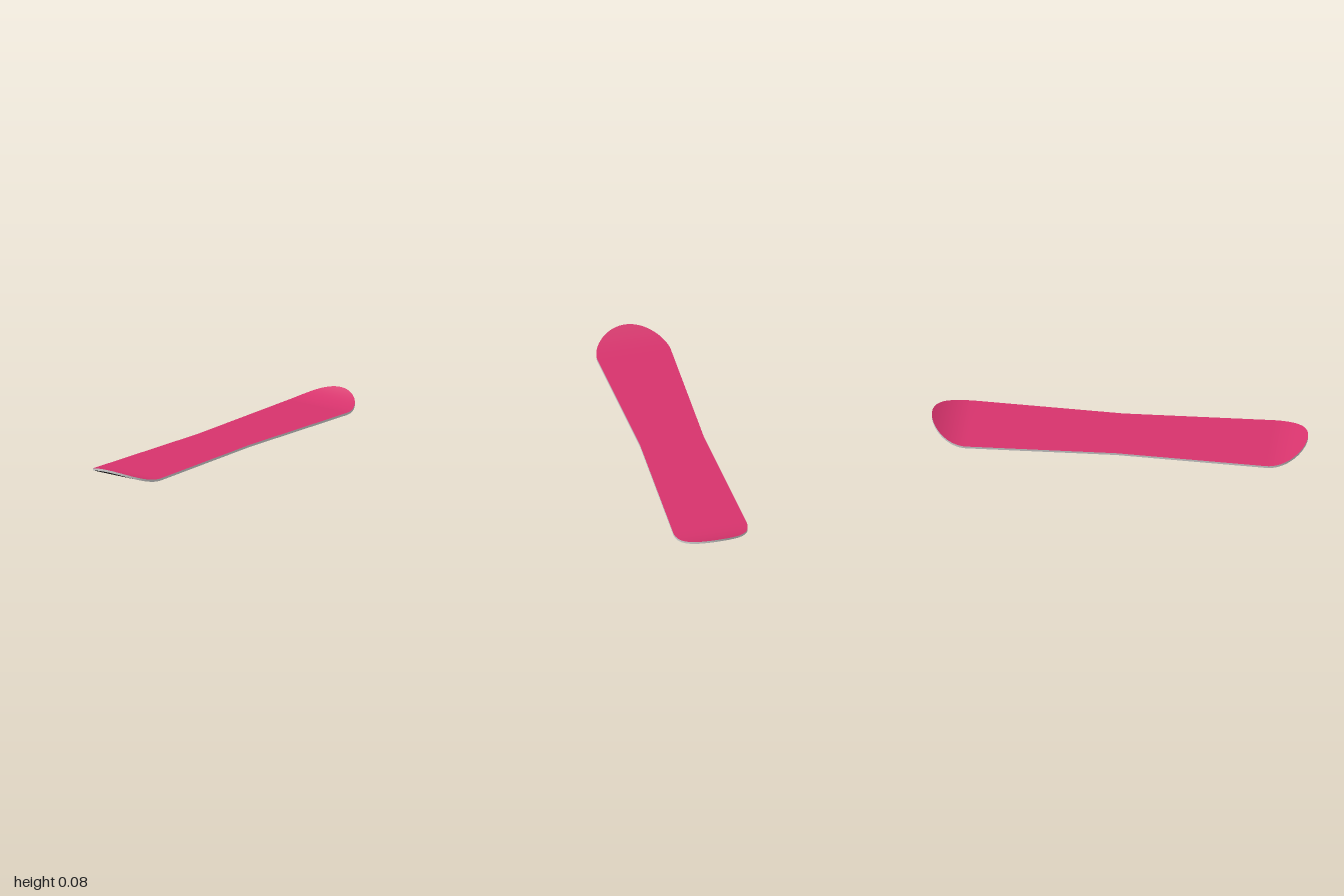
import * as THREE from 'three';

const THICK = 0.012, FLAT = 0.8, WIDE = 0.2, WAIST = 0.173, TIP = 0.2;

// Underside height: flat in the middle, parabolic upturn at both ends
function rise(x) {
  const t = Math.max(0, (Math.abs(x) - FLAT) / TIP);
  return (x > 0 ? 0.063 : 0.055) * t * t;
}

// Half outline from tail to nose: round end, tapered waist, round end
function stations() {
  const half = [];
  for (let i = 0; i <= 8; i++) half.push([FLAT * i / 8, WAIST + (WIDE - WAIST) * i / 8]);
  for (let i = 1; i <= 24; i++) {
    const a = i / 24 * Math.PI / 2;
    half.push([FLAT + TIP * Math.sin(a), Math.max(0, WIDE * Math.cos(a))]);
  }
  return [...half.slice(1).reverse().map(([x, w]) => [-x, w]), ...half];
}

// Surface strip between two matching rows of points
function strip(rowA, rowB) {
  const pos = [], index = [];
  rowA.forEach((p, i) => {
    pos.push(...p, ...rowB[i]);
    if (i) {
      const k = 2 * i;
      index.push(k - 2, k - 1, k, k - 1, k + 1, k);
    }
  });
  const g = new THREE.BufferGeometry();
  g.setAttribute('position', new THREE.Float32BufferAttribute(pos, 3));
  g.setIndex(index);
  g.computeVertexNormals();
  return g;
}

export function createModel() {
  const board = new THREE.Group();
  board.name = 'snowboard';
  const add = (name, geometry, color) => {
    const mesh = new THREE.Mesh(geometry, new THREE.MeshStandardMaterial({ color }));
    mesh.name = name;
    board.add(mesh);
  };
  const outline = stations();
  const edge = (side, lift) => outline.map(([x, w]) => [x, rise(x) + lift, side * w]);
  const topBack = edge(-1, THICK), topFront = edge(1, THICK);
  const lowBack = edge(-1, 0), lowFront = edge(1, 0);

  // Coloured deck and dark running base
  add('topSheet', strip(topBack, topFront), 0xd6336c);
  add('base', strip(lowFront, lowBack), 0x222222);

  // Thin edge wall running round both long sides and the tips
  const around = (front, back) => [...front, ...back.slice(0, -1).reverse()];
  add('sidewall', strip(around(topFront, topBack), around(lowFront, lowBack)), 0xcccccc);
  return board;
}
